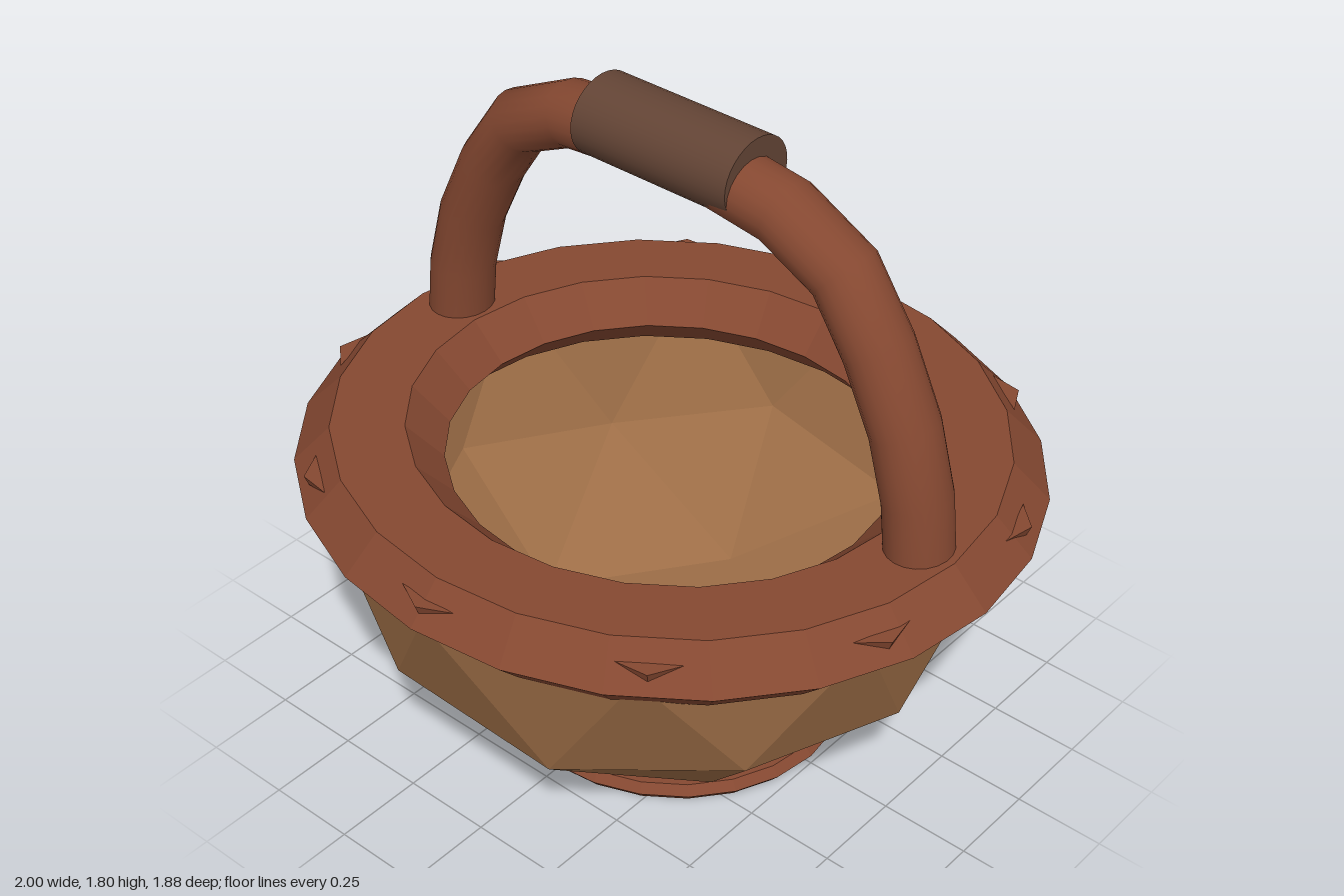
import * as THREE from 'three';

const DEPTH = 0.94; // rim and foot are slightly oval

function makeMaterial(name, color, options = {}) {
  const m = new THREE.MeshStandardMaterial({ color, ...options });
  m.name = name;
  return m;
}

function addMesh(parent, name, geometry, material) {
  const mesh = new THREE.Mesh(geometry, material);
  mesh.name = name;
  parent.add(mesh);
  return mesh;
}

// Flat hexagonal ring lying in the xz plane
function hexRing(radius, tube, halfHeight) {
  const g = new THREE.TorusGeometry(radius, tube, 6, 24);
  g.rotateX(Math.PI / 2);
  g.scale(1, halfHeight / (tube * Math.sin(Math.PI / 3)), DEPTH);
  return g;
}

function fromTriangles(points) {
  const g = new THREE.BufferGeometry().setFromPoints(points);
  g.computeVertexNormals();
  return g;
}

// Lower half of a faceted sphere with a flattened floor
function bowlShell(radius, height) {
  const at = (degrees, r, y) => {
    const a = THREE.MathUtils.degToRad(degrees);
    return new THREE.Vector3(Math.cos(a) * r * radius, 0.8 + y * height, Math.sin(a) * r * radius);
  };
  const floor = at(0, 0, -0.85);
  const tris = [];
  for (let k = 0; k < 5; k++) {
    const a = 36 + 72 * k;
    const b = a + 72;
    const low = at(a, 0.526, -0.85), lowNext = at(b, 0.526, -0.85);
    const knee = at(a, 0.894, -0.447), kneeNext = at(b, 0.894, -0.447);
    const mid = at(a + 36, 0.851, -0.526);
    const topA = at(a - 18, 1, 0), topB = at(a + 18, 1, 0), topC = at(b - 18, 1, 0);
    tris.push(
      floor, low, lowNext,
      low, knee, mid,
      low, mid, lowNext,
      lowNext, mid, kneeNext,
      knee, topA, topB,
      knee, topB, mid,
      mid, topB, topC,
      mid, topC, kneeNext
    );
  }
  return fromTriangles(tris);
}

// Small wedge that pokes out of the sloping rim
function rimStud() {
  const a = new THREE.Vector3(-0.085, 0.857, 0.935);
  const b = new THREE.Vector3(0.085, 0.857, 0.935);
  const tip = new THREE.Vector3(0, 0.857, 0.98);
  const low = new THREE.Vector3(0, 0.828, 0.968);
  return fromTriangles([a, tip, b, a, low, tip, tip, low, b, a, b, low]);
}

export function createModel() {
  const group = new THREE.Group();
  group.name = 'basket';

  const rimBrown = makeMaterial('rim red brown', 0x854831, { flatShading: true });
  const handleBrown = rimBrown.clone();
  handleBrown.name = 'handle red brown';
  handleBrown.flatShading = false;
  const bowlTan = makeMaterial('bowl tan', 0x9c6d46, { flatShading: true, side: THREE.DoubleSide });
  const gripBrown = makeMaterial('grip dark brown', 0x634435);

  // Bowl: outer and inner wall
  addMesh(group, 'bowlOuter', bowlShell(0.905, 0.87), bowlTan);
  addMesh(group, 'bowlInner', bowlShell(0.866, 0.83), bowlTan);

  // Rim and foot rings
  addMesh(group, 'rim', hexRing(0.8, 0.2, 0.1), rimBrown).position.y = 0.8;
  addMesh(group, 'footRing', hexRing(0.458, 0.042, 0.025), rimBrown).position.y = 0.025;

  // Studs around the rim
  const studs = new THREE.Group();
  studs.name = 'rimStuds';
  studs.scale.z = DEPTH;
  const studGeometry = rimStud();
  for (let i = 0; i < 10; i++) {
    addMesh(studs, 'rimStud', studGeometry, rimBrown).rotation.y = (i * Math.PI) / 5;
  }
  group.add(studs);

  // Arched handle, set slightly askew across the bowl
  const half = [[0.805, 0.8], [0.78, 1.04], [0.73, 1.22], [0.64, 1.405], [0.53, 1.565], [0.345, 1.655]];
  const arch = [
    ...half.map(([x, y]) => [-x, y]),
    [0, 1.695],
    ...half.slice().reverse()
  ];
  const path = new THREE.CatmullRomCurve3(
    arch.map(([x, y]) => new THREE.Vector3(x, y, (-0.025 + 0.031 * x) / 1.1))
  );
  path.getUtoTmapping = (u) => u; // keep tube rings on the arch points
  const handle = new THREE.TubeGeometry(path, arch.length - 1, 0.086, 20, false);
  handle.scale(1, 1, 1.1);
  addMesh(group, 'handle', handle, handleBrown);

  // Grip sleeve on top of the handle
  const grip = new THREE.CylinderGeometry(0.107, 0.107, 0.486, 32);
  grip.rotateZ(Math.PI / 2);
  grip.scale(1, 1, 1.09);
  addMesh(group, 'grip', grip, gripBrown).position.set(-0.002, 1.695, -0.033);

  return group;
}
